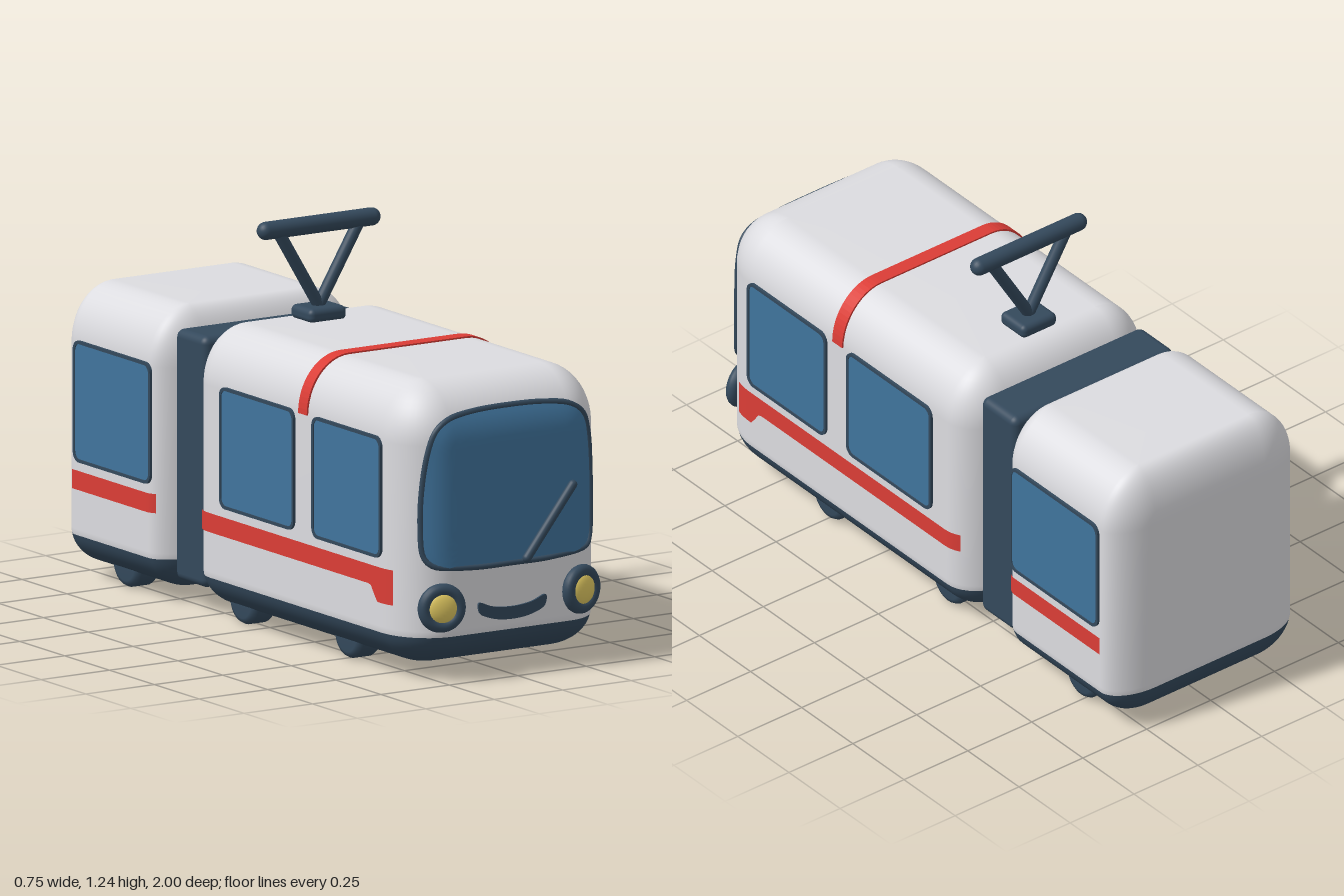
import * as THREE from 'three';
import { RoundedBoxGeometry } from 'three/addons/geometries/RoundedBoxGeometry.js';

const mat = (name, color, side = THREE.FrontSide) => {
  const m = new THREE.MeshStandardMaterial({ color, side });
  m.name = name;
  return m;
};

// Shared body section: half width, corner radii and heights
const W = 0.365, RX = 0.15, TOP = 0.92, RT = 0.18, BOT = 0.04, RB = 0.12, SKIRT = 0.14;
const frontCar = { z0: -0.285, z1: 0.965, r0: 0.12, r1: 0.17 };
const rearCar = { z0: -1, z1: -0.42, r0: 0.085, r1: 0.085 };

// Surface through rows of points; every row is a closed loop
function loft(rows) {
  const n = rows[0].length, index = [];
  for (let i = 0; i < rows.length - 1; i++) for (let j = 0; j < n; j++) {
    const a = i * n + j, c = i * n + (j + 1) % n, b = a + n, d = c + n;
    index.push(a, b, c, c, b, d);
  }
  const g = new THREE.BufferGeometry();
  g.setAttribute('position', new THREE.Float32BufferAttribute(rows.flat(2), 3));
  g.setIndex(index);
  g.computeVertexNormals();
  return g;
}

// Horizontal section of a car; k shrinks the corner radii towards roof and floor
function ring(car, y, k) {
  const pts = [];
  for (let q = 0; q < 4; q++) for (let i = 0; i <= 10; i++) {
    const t = (q + i / 10) * Math.PI / 2, sx = q === 0 || q === 3 ? 1 : -1;
    const x = sx * (W - RX) + RX * k * Math.cos(t);
    const z = q < 2 ? car.z1 - car.r1 + car.r1 * k * Math.sin(t) : car.z0 + car.r0 + car.r0 * k * Math.sin(t);
    pts.push([x, y, z]);
  }
  return pts;
}

const cap = (car, y) => ring(car, y, 0).map(() => [0, y, (car.z0 + car.z1) / 2]);

function shellRows(car, from, to, base, r) {
  const rows = [];
  for (let i = 0; i <= 12; i++) {
    const a = from + (to - from) * i / 12;
    rows.push(ring(car, base + r * Math.sin(a), Math.max(0, Math.cos(a))));
  }
  return rows;
}

// Depth of the nose and width of the flank at a point
function noseZ(x, y) {
  const u = Math.max(0, (Math.abs(x) - W + RX) / RX), v = Math.max(0, (y - TOP + RT) / RT);
  return frontCar.z1 - frontCar.r1 * (1 - Math.sqrt(Math.max(0, 1 - u * u - v * v)));
}
function flankX(car, z) {
  const u = Math.max(0, (z - car.z1 + car.r1) / car.r1, (car.z0 + car.r0 - z) / car.r0);
  return W - RX * (1 - Math.sqrt(Math.max(0, 1 - u * u)));
}

function roundedRect(P, w, h, r) {
  const s = new P(), x = w / 2, y = h / 2;
  s.moveTo(x, -y + r);
  s.absarc(x - r, y - r, r, 0, Math.PI / 2);
  s.absarc(-x + r, y - r, r, Math.PI / 2, Math.PI);
  s.absarc(-x + r, -y + r, r, Math.PI, Math.PI * 1.5);
  s.absarc(x - r, -y + r, r, Math.PI * 1.5, Math.PI * 2);
  return s;
}

export function createModel() {
  const root = new THREE.Group();
  root.name = 'tram';
  const white = mat('body white', 0xdcdce0), dark = mat('dark slate', 0x34495c);
  const blue = mat('window blue', 0x40749d), yellow = mat('lamp yellow', 0xe2ca62);
  const red = mat('stripe red', 0xdb3d36, THREE.DoubleSide);
  const add = (name, geo, m, x = 0, y = 0, z = 0, parent = root) => {
    const mesh = new THREE.Mesh(geo, m);
    mesh.name = name;
    mesh.position.set(x, y, z);
    parent.add(mesh);
    return mesh;
  };
  const rod = (name, a, b, r) => {
    const p = new THREE.Vector3(...a), d = new THREE.Vector3(...b).sub(p);
    const mesh = add(name, new THREE.CapsuleGeometry(r, d.length(), 8, 20), dark);
    mesh.position.copy(p).addScaledVector(d, 0.5);
    mesh.quaternion.setFromUnitVectors(new THREE.Vector3(0, 1, 0), d.normalize());
  };

  // Car bodies with dark skirts
  const split = Math.asin((SKIRT - BOT - RB) / RB);
  for (const [name, car] of [['front', frontCar], ['rear', rearCar]]) {
    add(name + 'Skirt', loft([cap(car, BOT), ...shellRows(car, -Math.PI / 2, split, BOT + RB, RB)]), dark);
    add(name + 'Body', loft([...shellRows(car, split, 0, BOT + RB, RB),
      ...shellRows(car, 0, Math.PI / 2, TOP - RT, RT), cap(car, TOP)]), white);
  }
  add('bellows', new RoundedBoxGeometry(0.63, 0.785, 0.17, 4, 0.025), dark, 0, 0.4725, -0.35);

  // Side windows, stripes and wheels
  const windows = [[0.61, 0.385], [0.11, 0.415], [-0.697, 0.43]];
  const stripes = [[frontCar, 0.855, -0.22, true], [rearCar, -0.47, -0.92, false]];
  const wheel = new THREE.LatheGeometry([[0, -0.045], [0.055, -0.045], [0.068, -0.04], [0.075, -0.028],
    [0.075, 0.028], [0.068, 0.04], [0.055, 0.045], [0, 0.045]].map(p => new THREE.Vector2(...p)), 32);
  wheel.rotateZ(Math.PI / 2);
  for (const s of [1, -1]) {
    for (const [z, w] of windows) {
      const frame = roundedRect(THREE.Shape, w, 0.38, 0.032);
      frame.holes.push(roundedRect(THREE.Path, w - 0.02, 0.36, 0.024));
      const turn = g => g.rotateY(s * Math.PI / 2);
      add('windowFrame', turn(new THREE.ExtrudeGeometry(frame, { depth: 0.009, bevelEnabled: false })), dark, s * (W - 0.001), 0.562, z);
      const pane = new THREE.ExtrudeGeometry(roundedRect(THREE.Shape, w - 0.016, 0.364, 0.024), { depth: 0.006, bevelEnabled: false });
      add('windowGlass', turn(pane), blue, s * (W - 0.001), 0.562, z);
    }
    for (const [car, za, zb, droop] of stripes) {
      const g = new THREE.PlaneGeometry(za - zb, 0.06, 60, 1).rotateY(s * Math.PI / 2);
      g.translate(0, 0.315, (za + zb) / 2);
      const p = g.attributes.position;
      for (let i = 0; i < p.count; i++) {
        const z = p.getZ(i);
        p.setX(i, s * (flankX(car, z) + 0.006));
        if (droop && p.getY(i) < 0.3) p.setY(i, 0.285 - 0.05 * THREE.MathUtils.clamp((z - 0.745) / 0.035, 0, 1));
      }
      g.computeVertexNormals();
      add('sideStripe', g, red);
    }
    for (const z of [0.5, -0.085, -0.735]) add('wheel', wheel, dark, s * 0.255, 0.075, z);

    // Headlight turned slightly outwards
    const lamp = new THREE.Group();
    lamp.name = 'headlight';
    lamp.position.set(s * 0.255, 0.235, 0.965);
    lamp.rotation.y = s * 0.25;
    root.add(lamp);
    add('lampRim', new THREE.TorusGeometry(0.057, 0.02, 14, 40), dark, 0, 0, 0, lamp);
    add('lampLens', new THREE.SphereGeometry(0.05, 32, 16), yellow, 0, 0, 0.006, lamp).scale.z = 0.4;
  }

  // Red band over the roof
  const arch = o => {
    const pts = [];
    for (let i = 0; i <= 32; i++) {
      const t = Math.PI * i / 32, c = Math.cos(t);
      const sx = i < 16 ? 1 : -1;
      const x = sx * (W - RX) + (RX + o) * c, y = TOP - RT + 0.006 + (RT + o - 0.006) * Math.sin(t);
      if (i === 16) pts.push(new THREE.Vector2(W - RX, y));
      pts.push(new THREE.Vector2(x, y));
    }
    return pts;
  };
  const band = new THREE.Shape([...arch(0.005), ...arch(-0.004).reverse()]);
  add('roofBand', new THREE.ExtrudeGeometry(band, { depth: 0.048, bevelEnabled: false }), red, 0, 0, 0.34);

  // Windscreen following the curved nose
  const half = [[0.13, 0.832], [0.22, 0.818], [0.268, 0.785], [0.292, 0.72], [0.307, 0.6], [0.31, 0.48],
    [0.303, 0.395], [0.28, 0.366], [0.15, 0.35]];
  const outline = [[0, 0.348], ...half.slice().reverse(), [0, 0.836], ...half.map(([x, y]) => [-x, y])];
  const loop = new THREE.CatmullRomCurve3(outline.map(([x, y]) => new THREE.Vector3(x, y, noseZ(x, y) + 0.003)), true);
  const edge = loop.getSpacedPoints(96).slice(0, 96), rows = [];
  for (let i = 0; i <= 14; i++) rows.push(edge.map(p => {
    const x = p.x * i / 14, y = 0.59 + (p.y - 0.59) * i / 14;
    return [x, y, noseZ(x, y) + 0.005];
  }));
  add('windscreen', loft(rows), blue);
  add('windscreenFrame', new THREE.TubeGeometry(loop, 120, 0.009, 8, true), dark);
  rod('wiper', [0.045, 0.36, 0.983], [0.212, 0.57, 0.983], 0.014);

  // Curved grille under the windscreen
  const grille = new THREE.CatmullRomCurve3([[-0.122, 0.235], [-0.07, 0.219], [0, 0.212], [0.07, 0.219], [0.122, 0.235],
    [0.118, 0.203], [0.07, 0.181], [0, 0.173], [-0.07, 0.181], [-0.118, 0.203]].map(([x, y]) => new THREE.Vector3(x, y, 0)), true);
  const grilleShape = new THREE.Shape(grille.getPoints(80).slice(0, 80).map(p => new THREE.Vector2(p.x, p.y)));
  add('grille', new THREE.ExtrudeGeometry(grilleShape, { depth: 0.009, bevelEnabled: false }), dark, 0, 0, 0.963);

  // Roof current collector
  add('collectorBase', new RoundedBoxGeometry(0.136, 0.045, 0.12, 4, 0.018), dark, 0, 0.938, -0.11);
  for (const s of [1, -1]) rod('collectorArm', [0, 0.96, -0.11], [s * 0.145, 1.2, -0.11], 0.019);
  rod('collectorBar', [-0.193, 1.213, -0.11], [0.193, 1.213, -0.11], 0.028);
  return root;
}
